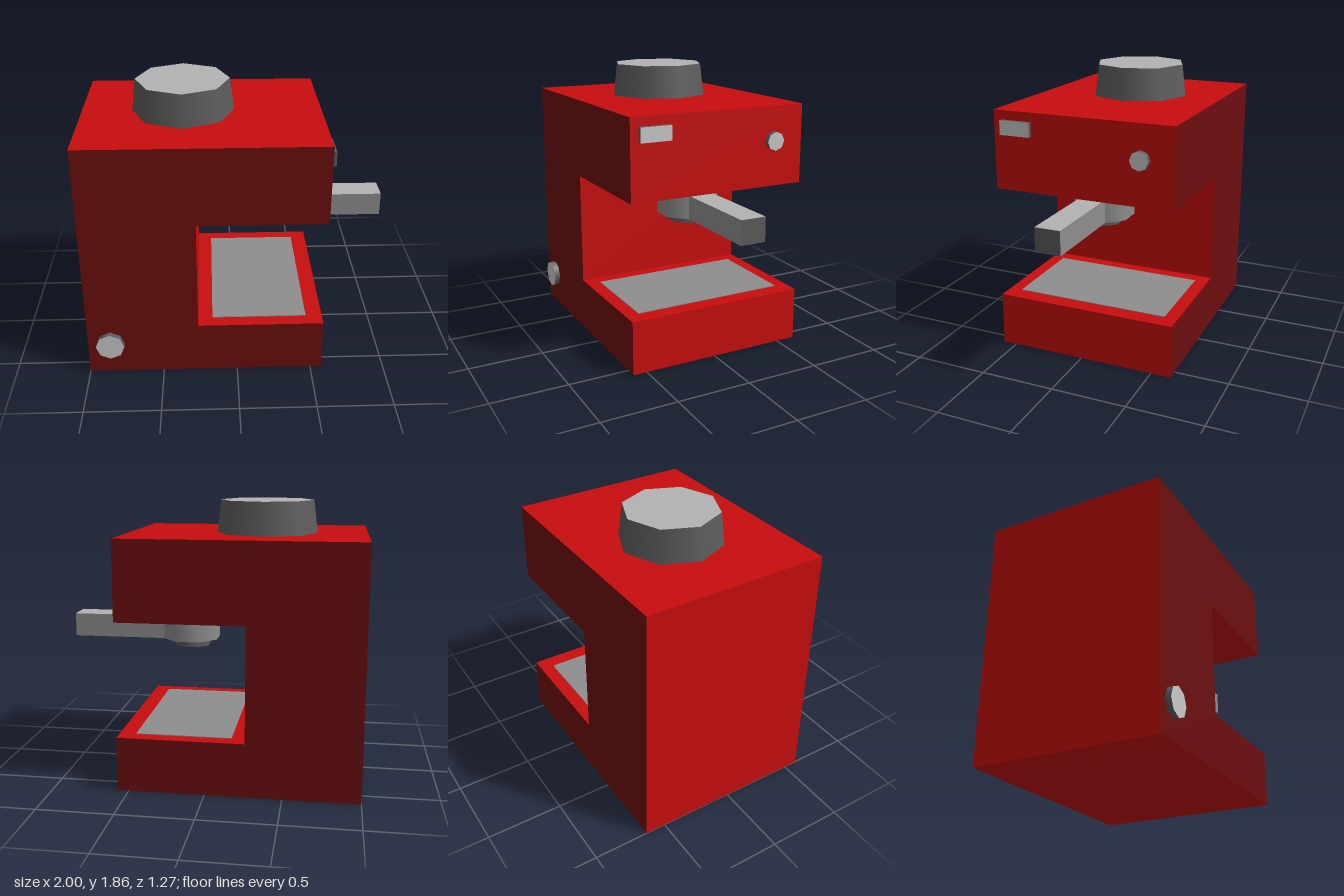
import * as THREE from 'three';

const mat = (name, color, side = THREE.FrontSide) => {
  const m = new THREE.MeshStandardMaterial({ color, side });
  m.name = name;
  return m;
};

export function createModel() {
  const group = new THREE.Group();
  const red = mat('red', 0xc80d0d);
  const darkRed = mat('dark red', 0x6c0e0e);
  const pale = mat('pale grey', 0xcacaca);
  const light = mat('light grey', 0xb2b2b2);
  const mid = mat('mid grey', 0x8e8e8e);
  const dark = mat('dark grey', 0x5c5c5c);

  const add = (name, geometry, material, x, y, z) => {
    const mesh = new THREE.Mesh(geometry, material);
    mesh.name = name;
    mesh.position.set(x, y, z);
    group.add(mesh);
    return mesh;
  };
  // Eight-sided drum between two heights; turned puts flats on the axes
  const drum = (name, rTop, rBottom, y0, y1, x, z, materials, turned) =>
    add(name, new THREE.CylinderGeometry(rTop, rBottom, y1 - y0, 8, 1, false, turned ? Math.PI / 8 : 0),
      materials, x, (y0 + y1) / 2, z);

  // C-shaped housing: dark flanks, bright wrap-around
  const outline = new THREE.Shape([
    [-1, 0], [0.575, 0], [0.575, 0.36], [-0.26, 0.36],
    [-0.26, 1.12], [0.575, 1.12], [0.575, 1.645], [-1, 1.645],
  ].map(([x, y]) => new THREE.Vector2(x, y)));
  add('housing', new THREE.ExtrudeGeometry(outline, { depth: 1.23, bevelEnabled: false }),
    [darkRed, red], 0, 0, -0.635);

  // Tapered hopper on top
  drum('hopper', 0.308, 0.335, 1.645, 1.86, -0.335, -0.045, [dark, light, dark]);

  // Drip tray plate
  add('dripTray', new THREE.BoxGeometry(0.63, 0.006, 1.05), mid, 0.15, 0.362, -0.02);

  // Brew head with collar, spout and handle
  drum('collar', 0.143, 0.143, 1.06, 1.12, 0.182, 0.003, [dark, dark, dark], true);
  drum('filterHead', 0.202, 0.202, 0.905, 1.065, 0.187, 0, [mid, light, mid], true);
  drum('spout', 0.125, 0.125, 0.855, 0.905, 0.18, 0.003, [dark, dark, mid], true);
  add('handle', new THREE.BoxGeometry(0.65, 0.158, 0.17),
    [dark, dark, light, mid, mid, mid], 0.675, 0.985, 0);

  // Round knobs and rectangular switch
  const knob = (name, r, depth) =>
    add(name, new THREE.CylinderGeometry(r, r, depth, 8), [dark, pale, dark], 0, 0, 0);
  const frontKnob = knob('frontKnob', 0.095, 0.036);
  frontKnob.rotation.x = Math.PI / 2;
  frontKnob.position.set(-0.85, 0.225, 0.613);
  const sideKnob = knob('sideKnob', 0.062, 0.036);
  sideKnob.rotation.z = -Math.PI / 2;
  sideKnob.position.set(0.593, 1.42, -0.415);
  add('switch', new THREE.BoxGeometry(0.028, 0.095, 0.21),
    [pale, dark, dark, dark, dark, dark], 0.589, 1.537, 0.435);

  return group;
}
